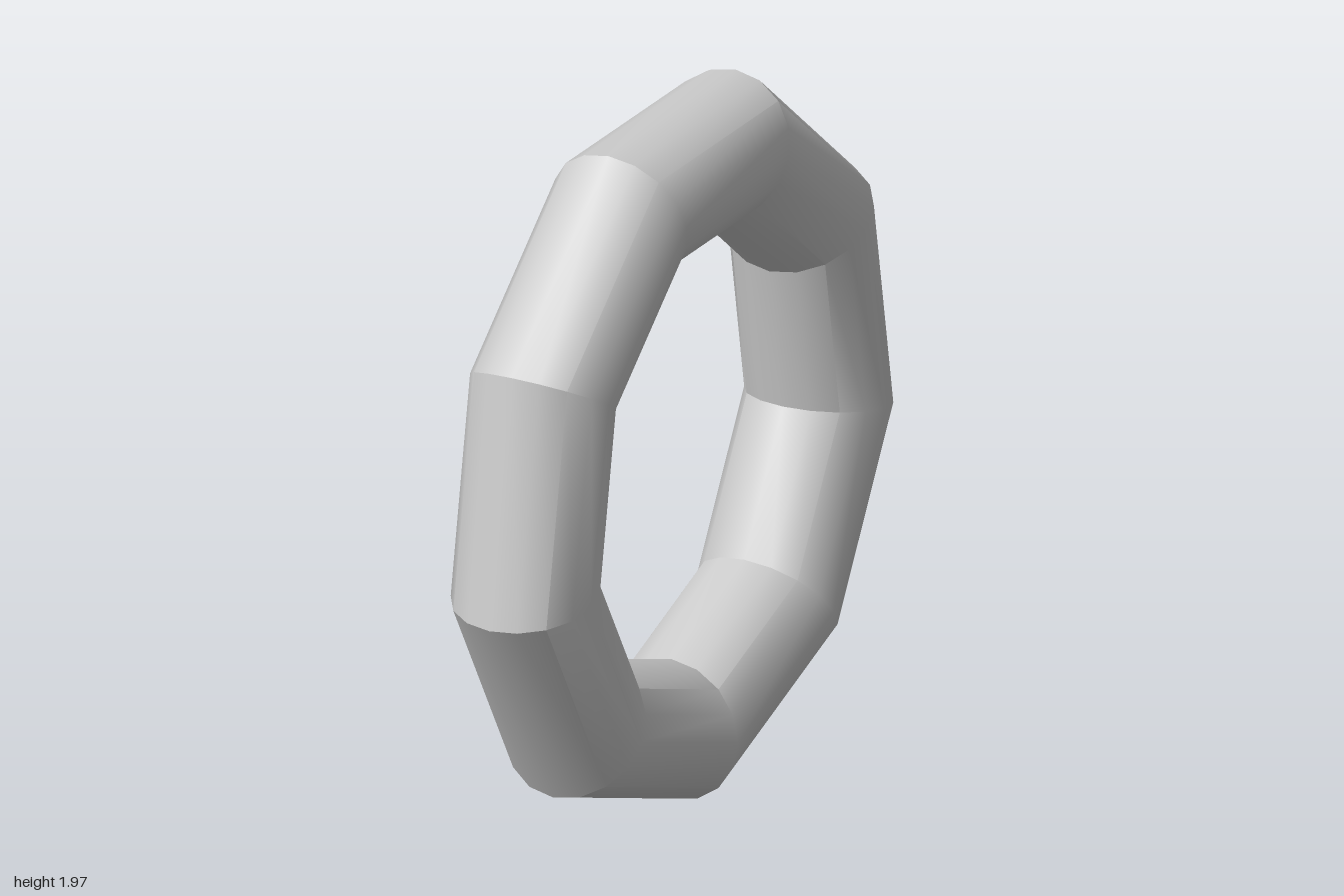
import * as THREE from 'three';
import { toCreasedNormals } from 'three/addons/utils/BufferGeometryUtils.js';

const RING_RADIUS = 0.815;
const TUBE_RADIUS = 0.2;

export function createModel() {
  const model = new THREE.Group();
  model.name = 'ringModel';

  // Nine-sided ring with a round tube, one corner pointing down
  const torus = new THREE.TorusGeometry(RING_RADIUS, TUBE_RADIUS, 16, 9);
  torus.rotateZ(-Math.PI / 2);
  torus.rotateY(Math.PI / 2);

  // Round along the tube, creased across the joints
  const geometry = toCreasedNormals(torus, THREE.MathUtils.degToRad(30));
  const ring = new THREE.Mesh(geometry, new THREE.MeshStandardMaterial({ color: 0xcccccc }));
  ring.name = 'ring';
  ring.position.y = RING_RADIUS + TUBE_RADIUS;
  model.add(ring);

  return model;
}
